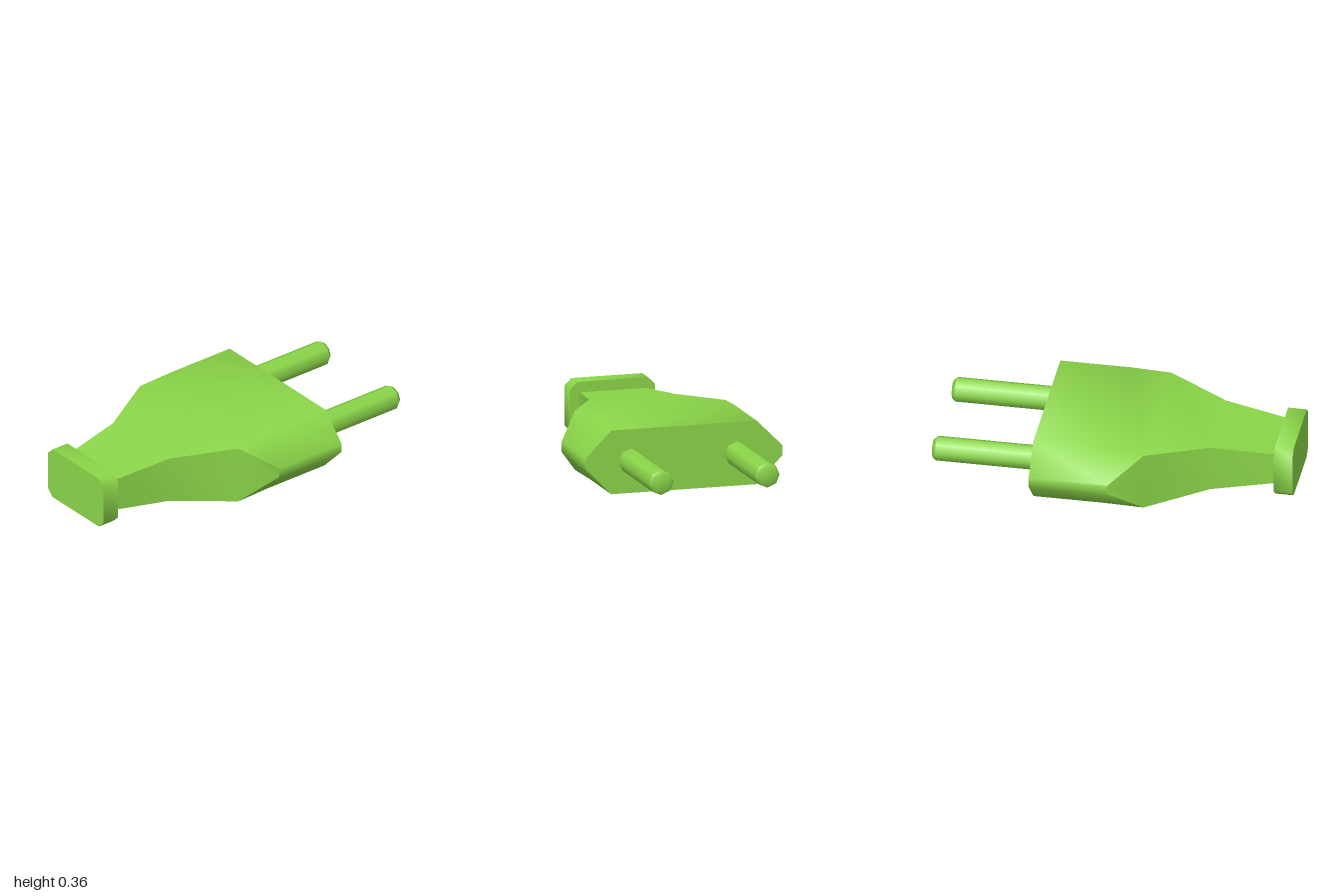
import * as THREE from 'three';
import { toCreasedNormals } from 'three/addons/utils/BufferGeometryUtils.js';

const CREASE = THREE.MathUtils.degToRad(50);

// Eight-sided body section, counter-clockwise seen from +x.
// xt: x of the top and bottom corners, xs: x of the side corners.
function section({ xt, xs = xt, flat, wide = flat, low, high, sideLow = low, sideHigh = high }) {
  const half = [[xt, high, flat], [xs, sideHigh, wide], [xs, sideLow, wide], [xt, low, flat]];
  const mirrored = half.map(([x, y, z]) => [x, y, -z]).reverse();
  return [...half, ...mirrored].map((p) => new THREE.Vector3(...p));
}

// Skin a row of sections and close both ends, skipping collapsed triangles.
function loft(rings) {
  const positions = [];
  const tri = (a, b, c) => {
    if (new THREE.Triangle(a, b, c).getArea() < 1e-7) return;
    for (const p of [a, b, c]) positions.push(p.x, p.y, p.z);
  };
  const n = rings[0].length;
  for (let i = 0; i < rings.length - 1; i++) {
    for (let j = 0; j < n; j++) {
      const k = (j + 1) % n;
      tri(rings[i][j], rings[i][k], rings[i + 1][k]);
      tri(rings[i][j], rings[i + 1][k], rings[i + 1][j]);
    }
  }
  const back = rings[0];
  const front = rings[rings.length - 1];
  for (let j = 1; j < n - 1; j++) {
    tri(back[0], back[j + 1], back[j]);
    tri(front[0], front[j], front[j + 1]);
  }
  const geometry = new THREE.BufferGeometry();
  geometry.setAttribute('position', new THREE.Float32BufferAttribute(positions, 3));
  return toCreasedNormals(geometry, CREASE);
}

export function createModel() {
  const model = new THREE.Group();
  model.name = 'powerPlug';
  const green = new THREE.MeshStandardMaterial({ color: 0x8bd649 });
  green.name = 'green plastic';

  const add = (parent, name, geometry) => {
    const mesh = new THREE.Mesh(geometry, green);
    mesh.name = name;
    parent.add(mesh);
    return mesh;
  };

  // Body: rectangular grip that flares into a chamfered head
  const head = { flat: 0.42, wide: 0.57, low: 0, high: 0.36, sideLow: 0.155, sideHigh: 0.21 };
  add(model, 'body', loft([
    section({ xt: -0.9, flat: 0.19, low: 0.09, high: 0.275 }),
    section({ xt: -0.54, flat: 0.247, low: 0.045, high: 0.315 }),
    section({ xt: -0.2, flat: 0.435, low: 0.004, high: 0.341 }),
    section({ xt: 0.02, xs: -0.02, ...head }),
    section({ xt: 0.42, ...head }),
  ]));

  // Collar: block with clipped corners at the cord end
  const collar = { flat: 0.205, wide: 0.245, low: 0.03, high: 0.335, sideLow: 0.07, sideHigh: 0.295 };
  add(model, 'cordCollar', loft([
    section({ xt: -1, ...collar }),
    section({ xt: -0.895, ...collar }),
  ]));

  // Two contact pins with soft bevelled tips
  for (const side of [1, -1]) {
    const pin = new THREE.Group();
    pin.name = side > 0 ? 'frontPin' : 'backPin';
    pin.position.set(0, 0.18, side * 0.307);
    pin.rotation.z = -Math.PI / 2;
    model.add(pin);
    const shaft = new THREE.CylinderGeometry(0.07, 0.07, 0.57, 8, 1, true);
    shaft.translate(0, 0.695, 0);
    add(pin, 'pinShaft', shaft);
    const tip = [[0.07, 0.98], [0.052, 1], [0, 1]].map((p) => new THREE.Vector2(...p));
    add(pin, 'pinTip', new THREE.LatheGeometry(tip, 8));
  }

  return model;
}
